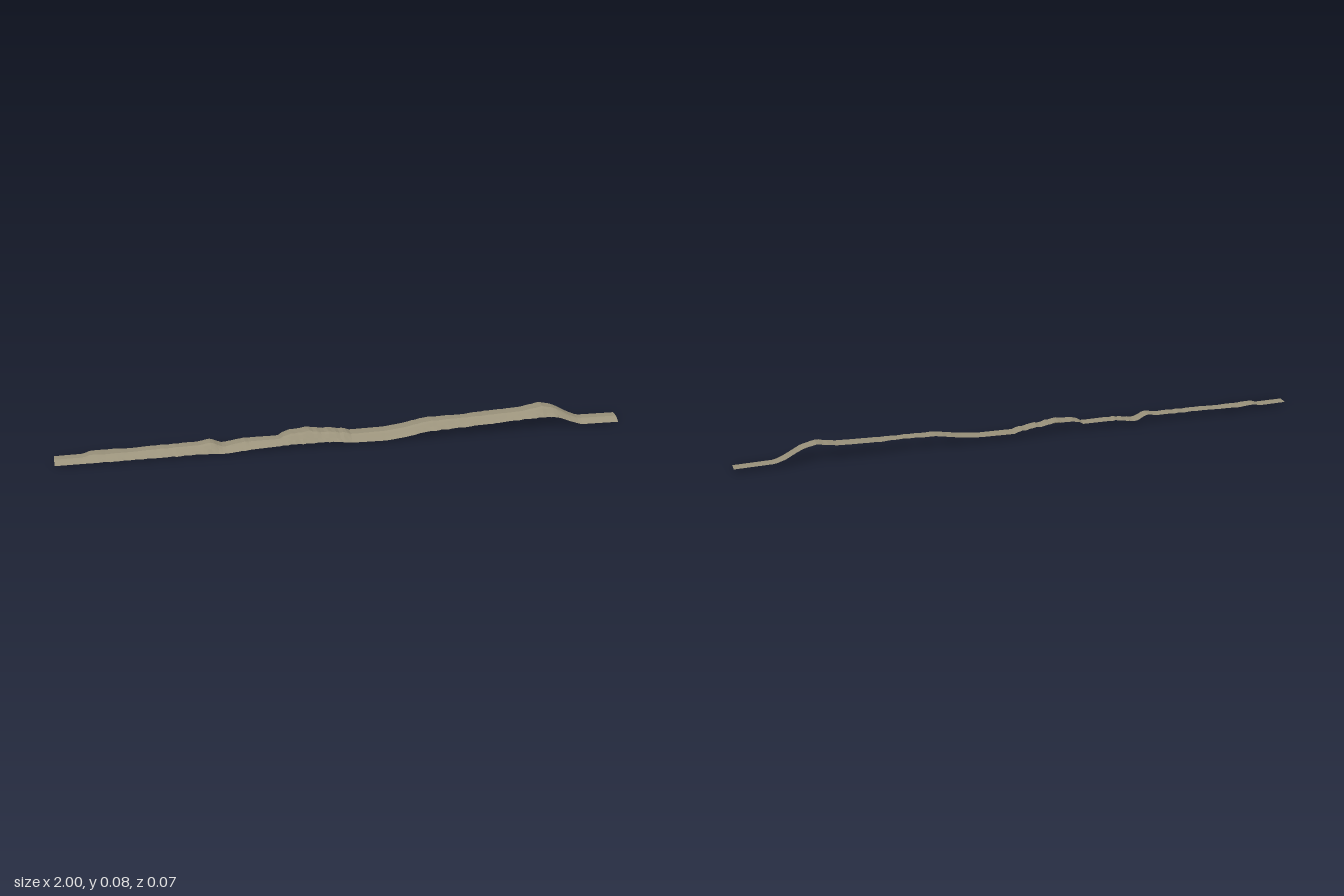
import * as THREE from 'three';

// Stations along the ridge: x, foot height, top height, z of the back edge
const STATIONS = [
  [-1, 0.005, 0.017, -0.026], [-0.9, 0.005, 0.017, -0.028], [-0.88, 0.005, 0.024, -0.031],
  [-0.81, 0.005, 0.023, -0.036], [-0.74, 0.005, 0.024, -0.030], [-0.52, 0.005, 0.029, -0.030],
  [-0.46, 0.004, 0.034, -0.031], [-0.42, 0.001, 0.018, -0.034], [-0.35, 0.008, 0.029, -0.032],
  [-0.23, 0.013, 0.029, -0.029], [-0.20, 0.014, 0.042, -0.034], [-0.13, 0.016, 0.050, -0.036],
  [-0.03, 0.013, 0.038, -0.038], [0.04, 0.005, 0.027, -0.037], [0.15, 0.003, 0.029, -0.035],
  [0.22, 0.011, 0.037, -0.036], [0.30, 0.025, 0.053, -0.035], [0.43, 0.031, 0.056, -0.028],
  [0.50, 0.034, 0.058, -0.036], [0.65, 0.043, 0.064, -0.036], [0.72, 0.046, 0.078, -0.037],
  [0.77, 0.042, 0.064, -0.036], [0.82, 0.022, 0.036, -0.035], [0.86, 0.007, 0.020, -0.028],
  [1, 0.005, 0.018, -0.028],
];

// Stretches of rugged rock: from x, to x, roughness
const ROUGH = [[-0.89, -0.5, 0.002], [-0.5, -0.33, 0.004], [-0.23, 0.03, 0.005], [0.25, 0.68, 0.0015], [0.68, 0.82, 0.004]];

function sample(x) {
  let i = 0;
  while (i < STATIONS.length - 2 && STATIONS[i + 1][0] < x) i++;
  const a = STATIONS[i], b = STATIONS[i + 1];
  const t = (x - a[0]) / (b[0] - a[0]);
  return a.map((v, k) => v + (b[k] - v) * t);
}

function seeded(seed) {
  return () => {
    seed = (seed * 16807) % 2147483647;
    return seed / 2147483647 - 0.5;
  };
}

// Cross-section from the front foot, up the slope and over to the back edge
function section(x, rand) {
  const [, lo, hi, back] = sample(x);
  const zone = ROUGH.find(r => x > r[0] && x < r[1]);
  const rough = zone ? zone[2] : 0;
  const step = rand() * rough, h = hi + step - lo;
  const foot = 0.032 + (rough ? rand() * 0.006 : 0);
  const crest = 0.005 + rand() * rough;
  return [
    [Math.max(0, lo + rand() * rough * 0.5), foot],
    [lo + h * 0.42 + rand() * rough * 0.5, 0.021],
    [lo + h * 0.8, 0.012],
    [lo + h, crest],
    [lo + h + rand() * rough * 0.3, -0.014],
    [lo + h - 0.0005, back + rand() * rough * 0.3],
  ];
}

export function createModel() {
  const group = new THREE.Group();
  const rand = seeded(77), N = 150, R = 6;
  const positions = [], index = [];
  for (let i = 0; i <= N; i++) {
    const x = -1 + (2 * i) / N;
    for (const [y, z] of section(x, rand)) positions.push(x, y, z);
  }
  for (let i = 0; i < N; i++) {
    for (let j = 0; j < R - 1; j++) {
      const a = i * R + j, b = a + R;
      index.push(a, b, a + 1, b, b + 1, a + 1);
    }
  }
  const geometry = new THREE.BufferGeometry();
  geometry.setAttribute('position', new THREE.Float32BufferAttribute(positions, 3));
  geometry.setIndex(index);
  geometry.computeVertexNormals();

  // Open rock shell: sloping front face and flat ledge
  const rock = new THREE.Mesh(geometry, new THREE.MeshStandardMaterial({
    color: 0x9a927b, flatShading: true, side: THREE.DoubleSide,
  }));
  rock.name = 'rockLedge';
  group.add(rock);
  return group;
}
